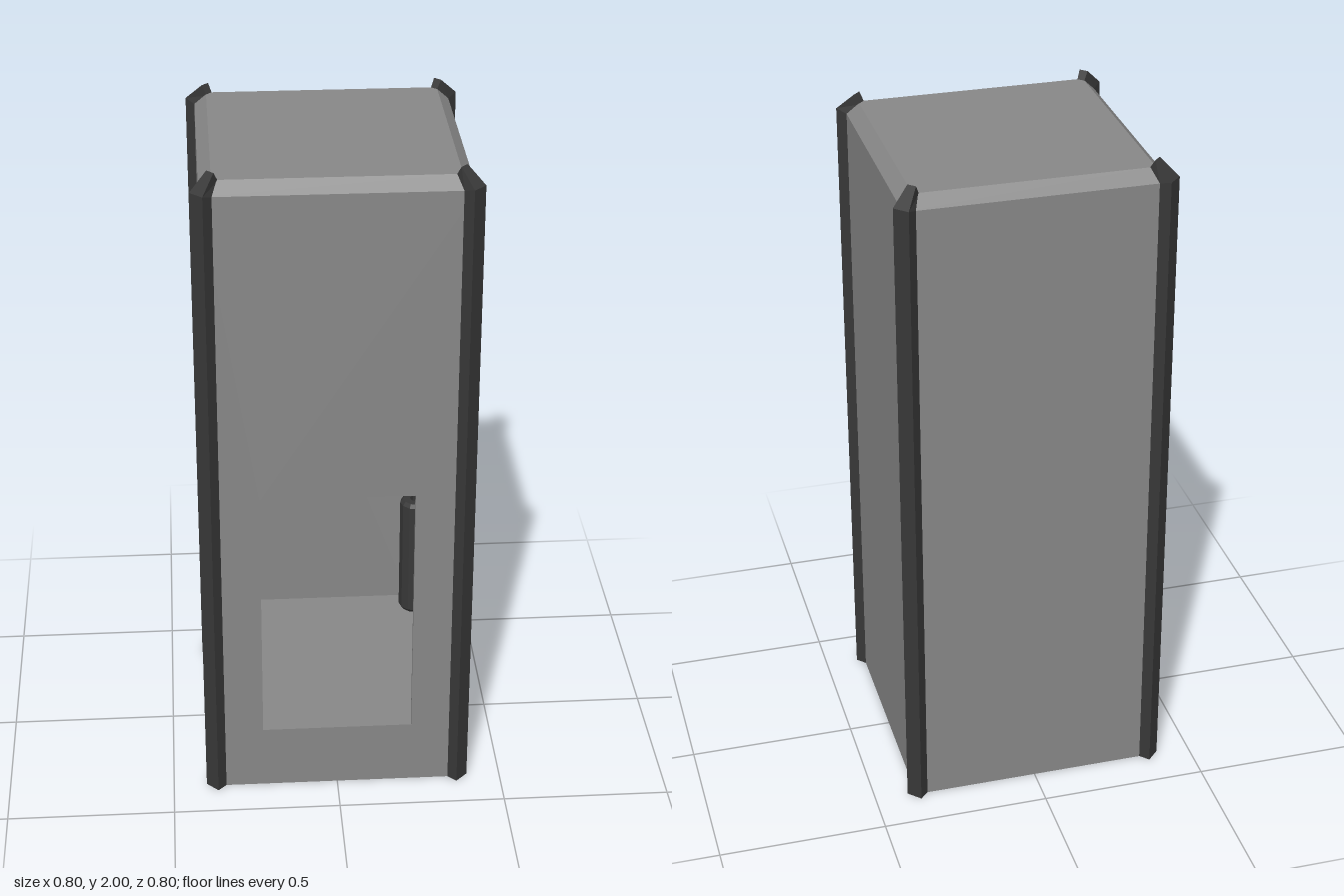
import * as THREE from 'three';

const bodyMat = new THREE.MeshStandardMaterial({ color: 0x888888, flatShading: true });
const trimMat = new THREE.MeshStandardMaterial({ color: 0x383838, flatShading: true });
const lightMat = new THREE.MeshStandardMaterial({ color: 0xcccccc, flatShading: true });

const HALF = 0.375;     // body half width
const WALL = 0.015;     // sheet thickness
const EAVES = 1.94;     // where the roof chamfer starts
const FLOOR = 0.2, CEILING = 1.26;

function add(parent, name, geometry, material, x = 0, y = 0, z = 0) {
  const mesh = new THREE.Mesh(geometry, material);
  mesh.name = name;
  mesh.position.set(x, y, z);
  parent.add(mesh);
  return mesh;
}

function rect(PathType, x0, y0, x1, y1) {
  const p = new PathType();
  p.moveTo(x0, y0);
  p.lineTo(x1, y0);
  p.lineTo(x1, y1);
  p.lineTo(x0, y1);
  p.closePath();
  return p;
}

function extrude(shape, depth) {
  return new THREE.ExtrudeGeometry(shape, { depth, bevelEnabled: false });
}

// Skin a closed solid over rings of points listed counterclockwise from above
function loft(rings) {
  const n = rings[0].length, index = [];
  for (let r = 0; r < rings.length - 1; r++) {
    for (let i = 0; i < n; i++) {
      const j = (i + 1) % n, a = r * n, b = a + n;
      index.push(a + i, a + j, b + j, a + i, b + j, b + i);
    }
  }
  const top = (rings.length - 1) * n;
  for (let i = 1; i < n - 1; i++) {
    index.push(0, i + 1, i, top, top + i, top + i + 1);
  }
  const g = new THREE.BufferGeometry();
  g.setAttribute('position', new THREE.Float32BufferAttribute(rings.flat(2), 3));
  g.setIndex(index);
  const flat = g.toNonIndexed();
  flat.computeVertexNormals();
  return flat;
}

// Corner trim: five-sided bar that bends inward over the roof chamfer
function cornerTrimGeometry() {
  const plan = [[0.34, 0.375], [0.365, 0.4], [0.4, 0.365], [0.375, 0.34], [0.34, 0.34]];
  const bendY = [1.94, 1.95, 1.95, 1.94, 1.93];
  return loft([
    plan.map(([x, z]) => [x, 0, z]),
    plan.map(([x, z], i) => [x, bendY[i], z]),
    [[0.322, 1.972, 0.338], [0.333, 2, 0.352], [0.352, 2, 0.333],
      [0.338, 1.972, 0.322], [0.328, 1.965, 0.328]],
  ]);
}

// Hollow canister with chamfered rims
function canisterGeometry(height) {
  const profile = [[0.02, 0], [0.043, 0], [0.052, 0.012], [0.052, height - 0.012],
    [0.043, height], [0.02, height], [0.02, height - 0.03], [0, height - 0.03]];
  return new THREE.LatheGeometry(profile.map(([r, y]) => new THREE.Vector2(r, y)), 12);
}

export function createModel() {
  const model = new THREE.Group();
  model.name = 'cabinet';

  // Front panel with the rectangular opening
  const front = rect(THREE.Shape, -HALF, 0, HALF, EAVES);
  front.holes.push(rect(THREE.Path, -0.225, 0.2, 0.225, 1.0));
  add(model, 'frontPanel', extrude(front, WALL), bodyMat, 0, 0, HALF - WALL);

  // Side and back walls as one U-shaped sheet
  const inner = HALF - WALL;
  const plan = new THREE.Shape([[-HALF, -inner], [-inner, -inner], [-inner, inner], [inner, inner],
    [inner, -inner], [HALF, -inner], [HALF, HALF], [-HALF, HALF]].map(([x, y]) => new THREE.Vector2(x, y)));
  add(model, 'sideAndBackWalls', extrude(plan, EAVES), bodyMat).rotation.x = -Math.PI / 2;

  // Solid base and upper block enclose the chamber
  const w = inner * 2;
  add(model, 'chamberFloor', new THREE.BoxGeometry(w, FLOOR, w), bodyMat, 0, FLOOR / 2, 0);
  add(model, 'chamberCeiling', new THREE.BoxGeometry(w, EAVES - CEILING, w), bodyMat,
    0, (EAVES + CEILING) / 2, 0);

  // Chamfered roof
  const roof = new THREE.CylinderGeometry(0.34 * Math.SQRT2, HALF * Math.SQRT2, 0.035, 4);
  roof.rotateY(Math.PI / 4);
  add(model, 'roof', roof, bodyMat, 0, EAVES + 0.0175, 0);

  // Four corner trims
  const trim = cornerTrimGeometry();
  for (let i = 0; i < 4; i++) {
    add(model, 'cornerTrim', trim, trimMat).rotation.y = i * Math.PI / 2;
  }

  // Canisters in the chamber corners, standing below and hanging above
  const canister = canisterGeometry(0.405);
  for (const x of [-0.3, 0.3]) {
    for (const z of [-0.295, 0.3]) {
      add(model, 'lowerCanister', canister, trimMat, x, FLOOR, z);
      add(model, 'upperCanister', canister, trimMat, x, CEILING, z).rotation.x = Math.PI;
    }
  }

  // Framed outlet on the back wall
  const outlet = new THREE.Group();
  outlet.name = 'outlet';
  outlet.position.set(0, 0.693, -inner);
  const frame = rect(THREE.Shape, -0.055, -0.083, 0.055, 0.083);
  frame.holes.push(rect(THREE.Path, -0.048, -0.076, 0.048, 0.076));
  add(outlet, 'outletFrame', extrude(frame, 0.03), trimMat);
  add(outlet, 'outletPlate', new THREE.BoxGeometry(0.096, 0.152, 0.02), bodyMat, 0, 0, 0.01);
  for (const y of [-0.043, 0.043]) {
    add(outlet, 'outletContact', new THREE.BoxGeometry(0.028, 0.045, 0.01), lightMat, 0, y, 0.023);
  }
  model.add(outlet);

  return model;
}
